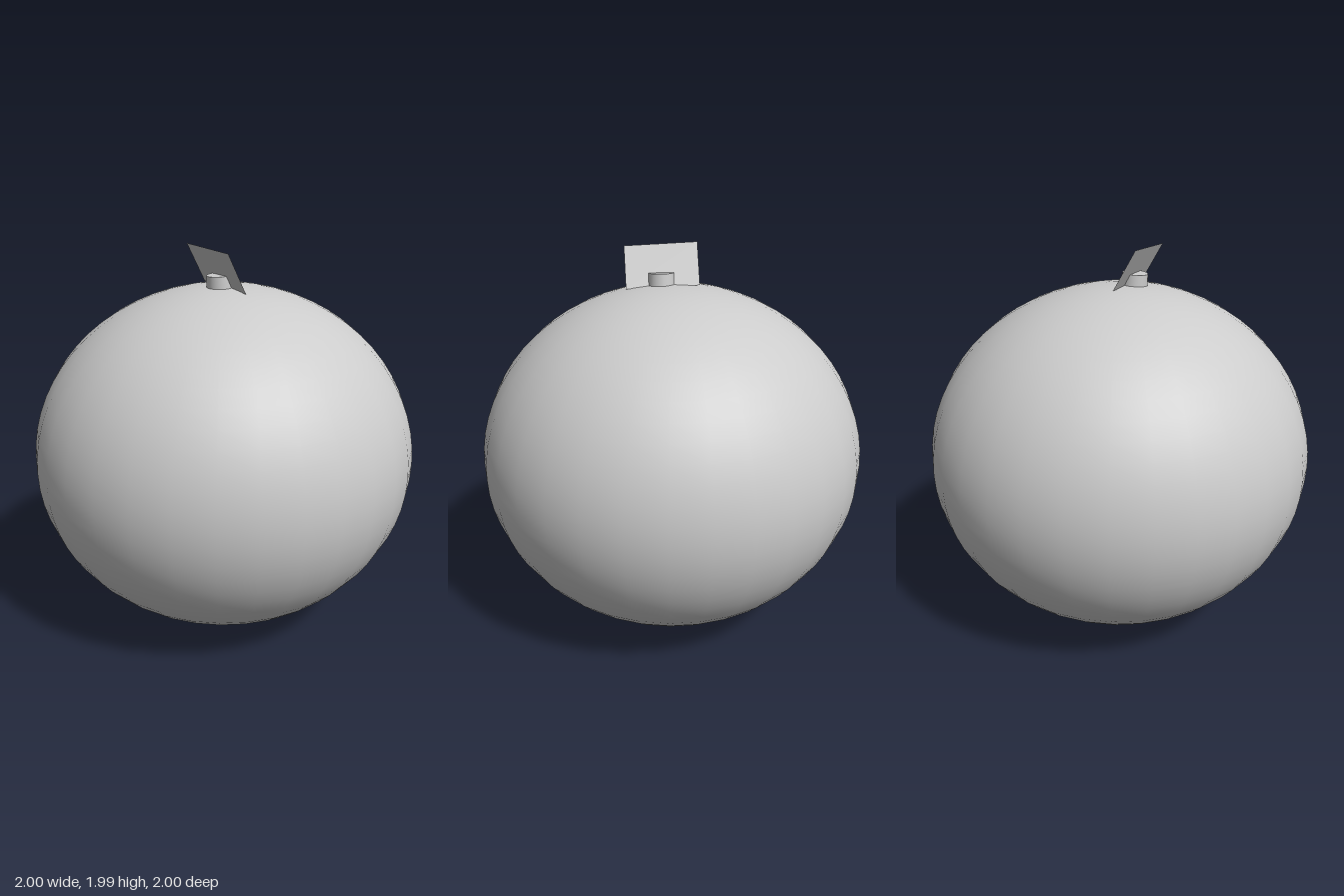
import * as THREE from 'three';

export function createModel() {
  const group = new THREE.Group();
  const material = new THREE.MeshStandardMaterial({ color: 0xcccccc });
  const add = (name, geometry, mat = material) => {
    const mesh = new THREE.Mesh(geometry, mat);
    mesh.name = name;
    group.add(mesh);
    return mesh;
  };

  // Round fruit body, slightly flattened
  const body = add('body', new THREE.SphereGeometry(1, 32, 32));
  body.scale.y = 0.9;
  body.position.y = 0.9;

  // Short stem stub, leaning a little
  const stem = add('stem', new THREE.CylinderGeometry(0.064, 0.07, 0.09, 24));
  stem.position.set(-0.066, 1.808, 0.042);
  stem.rotation.z = 0.08;

  // Flat rectangular leaf, tilted outward from the stem
  const leafMaterial = new THREE.MeshStandardMaterial({ color: 0xcccccc, side: THREE.DoubleSide });
  const along = new THREE.Vector3(0.062, 0.02, -0.367);
  const up = new THREE.Vector3(-0.111, 0.198, -0.008);
  const width = along.length(), height = up.length();
  along.normalize();
  up.addScaledVector(along, -up.dot(along)).normalize();
  const normal = new THREE.Vector3().crossVectors(along, up);
  const leaf = add('leaf', new THREE.PlaneGeometry(width, height), leafMaterial);
  leaf.quaternion.setFromRotationMatrix(new THREE.Matrix4().makeBasis(along, up, normal));
  leaf.position.set(-0.088, 1.886, 0.036);

  return group;
}
